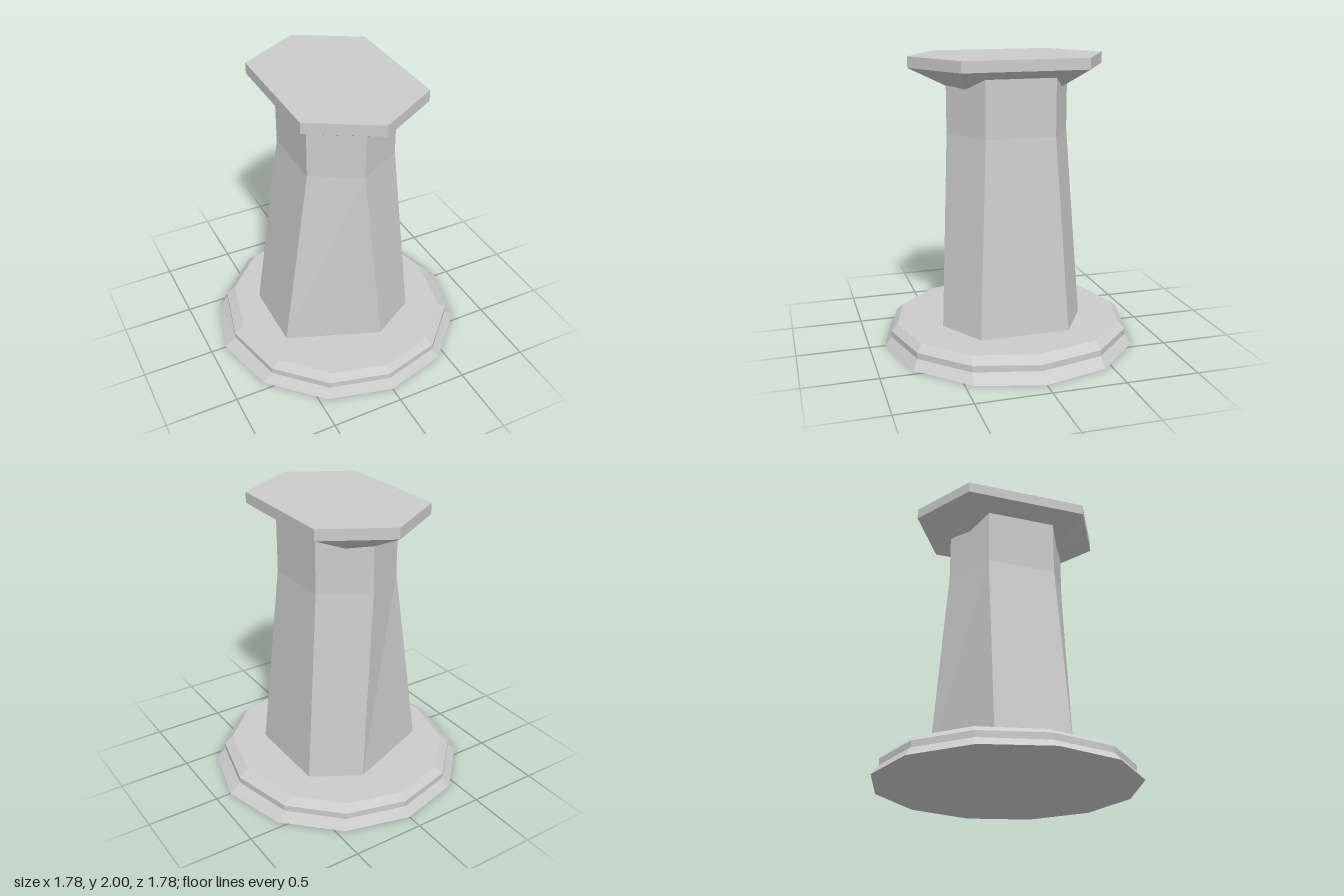
import * as THREE from 'three';

const material = new THREE.MeshStandardMaterial({ color: 0xcccccc, flatShading: true });

// Completes a quarter outline of [x, z] points, running from +z to +x, into a closed ring.
function ring(quarter) {
  const back = quarter.filter(p => p[1] > 0).reverse().map(([x, z]) => [x, -z]);
  const half = [...quarter, ...back];
  const left = half.filter(p => p[0] > 0).reverse().map(([x, z]) => [-x, z]);
  return [...half, ...left];
}

// Faceted solid through rings stacked upward, closed at both ends.
function loft(name, levels) {
  const positions = [];
  const tri = (...corners) => corners.forEach(c => positions.push(...c));
  const rings = levels.map(([y, pts]) => pts.map(([x, z]) => [x, y, z]));
  const n = rings[0].length;
  const bottom = rings[0], top = rings[rings.length - 1];
  for (let k = 0; k < rings.length - 1; k++) {
    const a = rings[k], b = rings[k + 1];
    for (let i = 0; i < n; i++) {
      const j = (i + 1) % n;
      tri(a[i], a[j], b[j]);
      tri(a[i], b[j], b[i]);
    }
  }
  for (let i = 1; i < n - 1; i++) {
    tri(top[0], top[i], top[i + 1]);
    tri(bottom[0], bottom[i + 1], bottom[i]);
  }
  const geometry = new THREE.BufferGeometry();
  geometry.setAttribute('position', new THREE.Float32BufferAttribute(positions, 3));
  geometry.computeVertexNormals();
  const mesh = new THREE.Mesh(geometry, material);
  mesh.name = name;
  return mesh;
}

export function createModel() {
  const group = new THREE.Group();
  group.name = 'pedestal';

  // Twelve-sided stepped base
  const foot = ring([[0, 0.892], [0.445, 0.775], [0.773, 0.447], [0.892, 0]]);
  const step = ring([[0, 0.845], [0.41, 0.738], [0.708, 0.438], [0.813, 0]]);
  const rim = ring([[0, 0.8], [0.373, 0.7], [0.646, 0.428], [0.745, 0]]);
  group.add(loft('base', [[0, foot], [0.062, step], [0.105, step], [0.15, rim]]));

  // Six-sided column, leaning out toward -x at its foot
  const shaft = ring([[0, 0.427], [0.32, 0.24]]);
  const shaftFoot = [
    [0.115, 0.5], [0.435, 0.31], [0.435, -0.31],
    [0.115, -0.5], [-0.517, -0.255], [-0.517, 0.255],
  ];
  // the ring runs +z, right front, right back, -z, left back, left front
  group.add(loft('column', [[0.14, shaftFoot], [1.48, shaft], [1.95, shaft]]));

  // Hexagonal top plate with a sloped underside that sinks into the column
  const plate = ring([[0, 0.68], [0.44, 0.425]]);
  const neck = ring([[0, 0.394], [0.15, 0.33]]);
  group.add(loft('cap', [[1.785, neck], [1.925, plate], [2, plate]]));

  return group;
}
